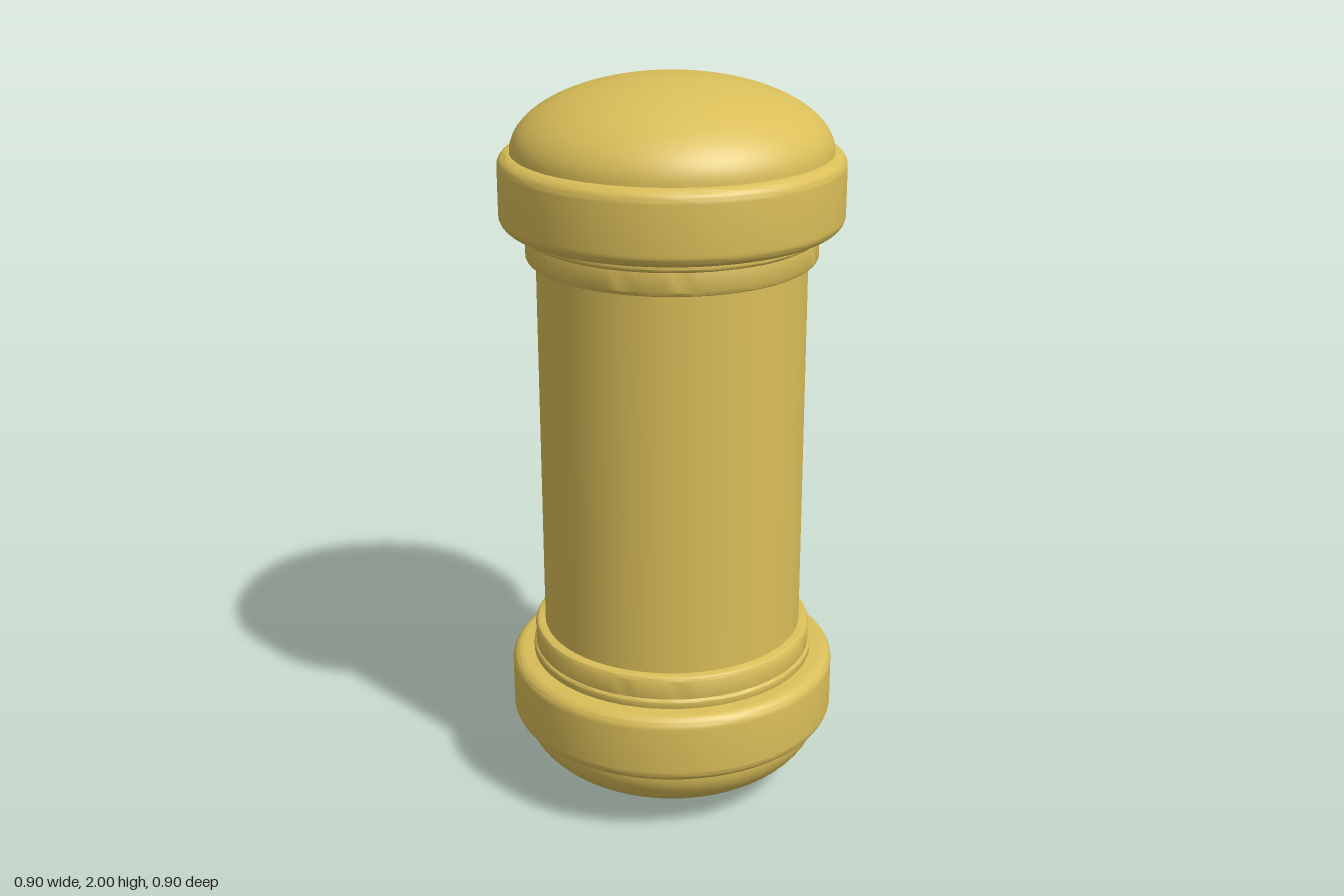
import * as THREE from 'three';
import { toCreasedNormals } from 'three/addons/utils/BufferGeometryUtils.js';

const SEGMENTS = 64;

export function createModel() {
  const gold = new THREE.MeshStandardMaterial({ color: 0xdabe59 });
  gold.name = 'gold';

  const add = (parent, name, geometry) => {
    const mesh = new THREE.Mesh(geometry, gold);
    mesh.name = name;
    parent.add(mesh);
    return mesh;
  };

  // Solid disc of radius r between y0 and y1 with rounded rims
  const roundedDisc = (r, y0, y1, bottomRim, topRim) => {
    const points = [new THREE.Vector2(0, y0)];
    const arc = (rim, cy, from) => {
      for (let i = 0; i <= 8; i++) {
        const a = from + (i / 8) * Math.PI / 2;
        points.push(new THREE.Vector2(r - rim + rim * Math.cos(a), cy + rim * Math.sin(a)));
      }
    };
    arc(bottomRim, y0 + bottomRim, -Math.PI / 2);
    arc(topRim, y1 - topRim, 0);
    points.push(new THREE.Vector2(0, y1));
    return toCreasedNormals(new THREE.LatheGeometry(points, SEGMENTS), 0.6);
  };

  // Half-ellipsoid cap
  const domeGeometry = (r, h) => {
    const points = [];
    for (let i = 0; i <= 24; i++) {
      const a = (i / 24) * Math.PI / 2;
      points.push(new THREE.Vector2(i === 24 ? 0 : r * Math.cos(a), h * Math.sin(a)));
    }
    return new THREE.LatheGeometry(points, SEGMENTS);
  };

  // One end, built outward along +y from the outer face of its band
  const makeEnd = (name, domeHeight) => {
    const end = new THREE.Group();
    end.name = name;
    add(end, 'dome', domeGeometry(0.419, domeHeight));
    add(end, 'band', roundedDisc(0.452, -0.194, 0, 0.034, 0.034));
    add(end, 'thinRing', roundedDisc(0.391, -0.22, -0.19, 0.01, 0.004));
    add(end, 'collar', roundedDisc(0.385, -0.283, -0.2, 0.013, 0.004));
    return end;
  };

  const model = new THREE.Group();
  model.name = 'capsuleColumn';

  // Central shaft
  const shaft = add(model, 'shaft', new THREE.CylinderGeometry(0.358, 0.358, 1.3, SEGMENTS));
  shaft.position.y = 1.0;

  // Matching ends, the lower one turned over
  const top = makeEnd('topEnd', 0.19);
  top.position.y = 1.81;
  const bottom = makeEnd('bottomEnd', 0.197);
  bottom.position.y = 0.197;
  bottom.rotation.x = Math.PI;
  model.add(top, bottom);

  return model;
}
